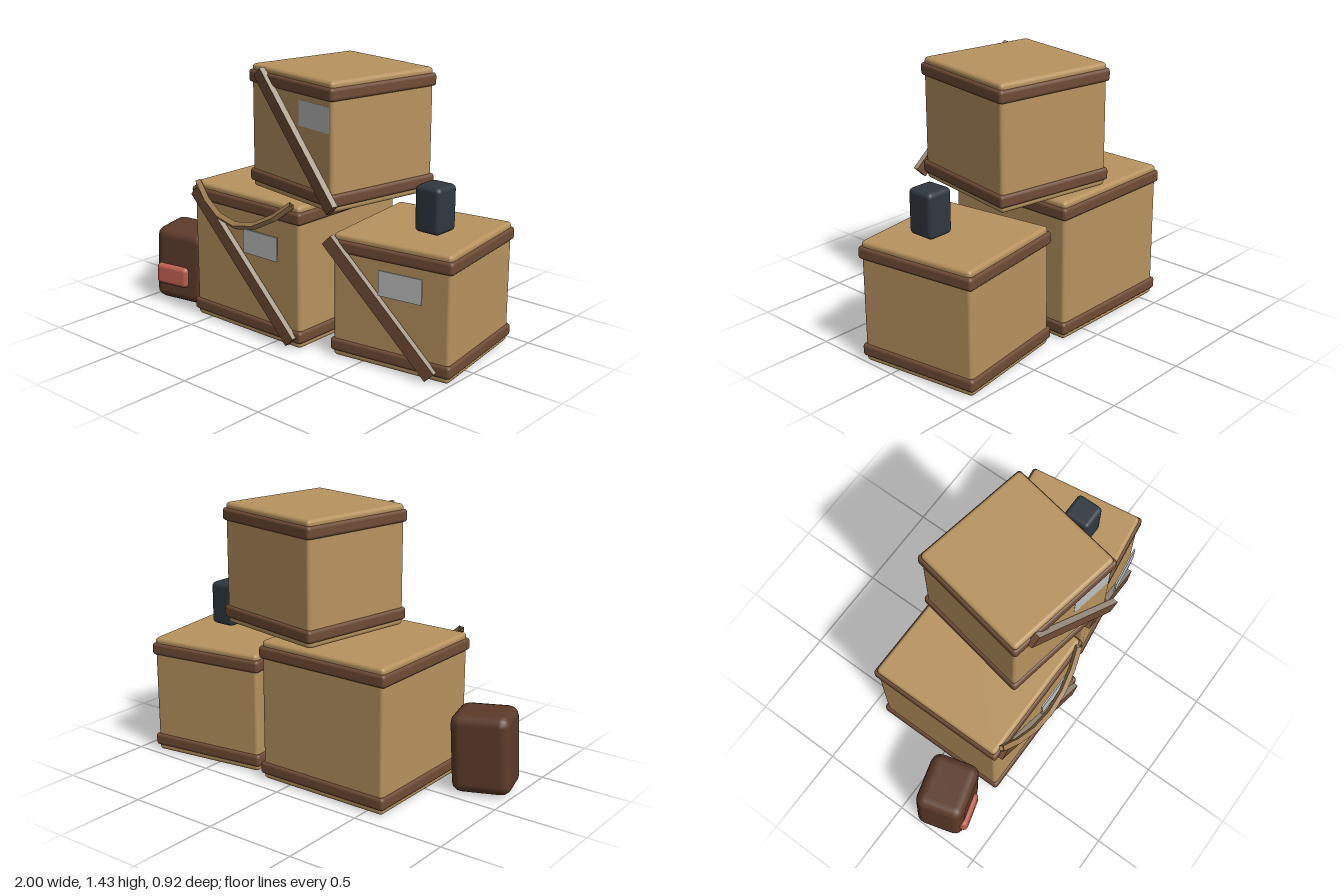
import * as THREE from 'three';
import { RoundedBoxGeometry } from 'three/addons/geometries/RoundedBoxGeometry.js';

const material = (name, color, extra = {}) => {
  const m = new THREE.MeshStandardMaterial({ color, ...extra });
  m.name = name;
  return m;
};

export function createModel() {
  const model = new THREE.Group();
  model.name = 'crateStack';

  const wood = material('tanWood', 0xb8935f);
  const trim = material('brownTrim', 0x704c36);
  const edge = material('greyEdge', 0xa99c8b);
  const paper = material('paperGrey', 0xc0c0c0);
  const rope = material('ropeTan', 0x9e7b50, { side: THREE.DoubleSide });
  const leather = material('darkLeather', 0x5c3a2a);
  const red = material('pocketRed', 0xbf5f50);
  const slate = material('slate', 0x303840);

  const add = (parent, name, geometry, mat, x, y, z) => {
    const mesh = new THREE.Mesh(geometry, mat);
    mesh.name = name;
    mesh.position.set(x, y, z);
    parent.add(mesh);
    return mesh;
  };
  const block = (w, h, d, r, segments = 2) => new RoundedBoxGeometry(w, h, d, segments, r);

  // Crate: body, two bands, a diagonal brace and a label on the front
  function crate(name, { x, y, z, size, height, turn, front }) {
    const g = new THREE.Group();
    g.name = name;
    g.position.set(x, y + height / 2, z);
    model.add(g);

    add(g, 'body', block(size, height, size, 0.02), wood, 0, 0, 0).rotation.y = turn;
    for (const side of [-1, 1]) {
      const band = block(size + 0.026, 0.068, size + 0.026, 0.018);
      add(g, side < 0 ? 'lowerBand' : 'upperBand', band, trim, 0, side * (height / 2 - 0.063), 0).rotation.y = turn;
    }

    // Long edges are pale, the faces and ends brown
    const brace = add(g, 'diagonalBrace', new THREE.BoxGeometry(size * 1.27, 0.07, 0.033),
      [trim, trim, edge, edge, trim, trim], 0, 0, front);
    brace.rotation.set(0, turn, -Math.PI / 4);
    brace.rotation.order = 'YXZ';

    add(g, 'label', new THREE.BoxGeometry(0.24, 0.13, 0.009), paper, 0.13, 0.135, front).rotation.y = turn;
  }

  crate('leftCrate', { x: -0.214, y: 0.008, z: -0.025, size: 0.764, height: 0.765, turn: 0, front: 0.405 });
  crate('rightCrate', { x: 0.615, y: 0.008, z: -0.085, size: 0.66, height: 0.655, turn: 0.14, front: 0.358 });
  crate('topCrate', { x: 0.118, y: 0.783, z: -0.025, size: 0.66, height: 0.65, turn: -0.18, front: 0.356 });

  // Sagging handle at the front of the large crate
  const sag = new THREE.QuadraticBezierCurve3(
    new THREE.Vector3(-0.55, 0.78, 0.37),
    new THREE.Vector3(-0.21, 0.455, 0.495),
    new THREE.Vector3(0.13, 0.78, 0.37));
  const handle = new THREE.TubeGeometry(sag, 6, 0.02, 4).toNonIndexed();
  handle.computeVertexNormals();
  add(model, 'ropeHandle', handle, rope, 0, 0, 0);

  // Leaning bag with a front pocket
  const bag = new THREE.Group();
  bag.name = 'bag';
  bag.position.set(-0.818, 0.227, 0.2);
  bag.rotation.set(0, 0.28, -0.06, 'ZYX');
  model.add(bag);
  add(bag, 'bagBody', block(0.315, 0.425, 0.27, 0.055), leather, 0, 0, 0);
  add(bag, 'pocket', block(0.2, 0.12, 0.06, 0.025), red, -0.035, -0.055, 0.13);

  // Small upright canister on the right crate
  add(model, 'canister', block(0.15, 0.24, 0.155, 0.025), slate, 0.725, 0.8, -0.025);

  return model;
}
